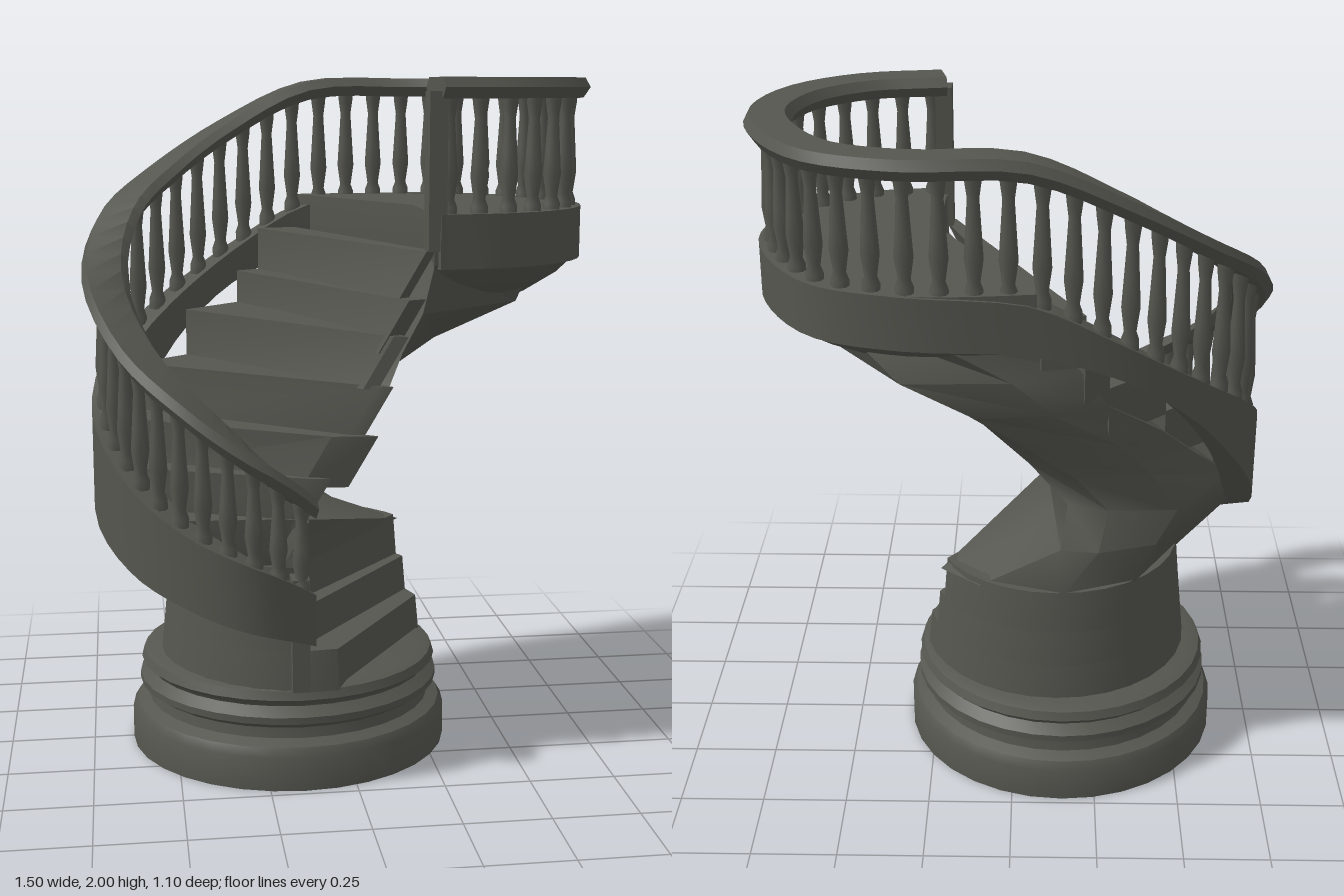
import * as THREE from 'three';
import { toCreasedNormals } from 'three/addons/utils/BufferGeometryUtils.js';

const stone = new THREE.MeshStandardMaterial({ color: 0x55564f });
stone.name = 'dark stone';

const V = (x, y, z) => new THREE.Vector3(x, y, z);
const ringAt = (points, y) => points.map(([x, z]) => V(x, y, z));

// Closed solid through rings of equal point count, turned to face outward
function loft(rings, crease = 0.7) {
  const n = rings[0].length, pts = rings.flat(), idx = [];
  const last = (rings.length - 1) * n;
  for (let r = 0; r < rings.length - 1; r++) {
    for (let i = 0; i < n; i++) {
      const j = (i + 1) % n, a = r * n + i, b = r * n + j;
      idx.push(a, b, a + n, b, b + n, a + n);
    }
  }
  const centre = (ring) => ring.reduce((s, p) => s.add(p), V(0, 0, 0)).divideScalar(n);
  const c0 = pts.length, c1 = c0 + 1;
  const all = [...pts, centre(rings[0]), centre(rings[rings.length - 1])];
  for (let i = 0; i < n; i++) {
    const j = (i + 1) % n;
    idx.push(c0, j, i, c1, last + i, last + j);
  }
  let volume = 0;
  for (let i = 0; i < idx.length; i += 3) {
    volume += all[idx[i]].dot(all[idx[i + 1]].clone().cross(all[idx[i + 2]]));
  }
  if (volume < 0) idx.reverse();
  const g = new THREE.BufferGeometry().setFromPoints(all);
  g.setIndex(idx);
  return toCreasedNormals(g, crease);
}

// Circle of the lower drum cut along the line a-b, keeping the uphill side
function cutCircle(a, b, radius) {
  const side = ([x, z]) => (b[0] - a[0]) * (z - a[1]) - (b[1] - a[1]) * (x - a[0]);
  const keep = Math.sign(side([-0.5, -0.3]));
  const circle = Array.from({ length: 32 }, (_, i) => {
    const t = (i / 32) * Math.PI * 2;
    return [-0.13 + radius * Math.cos(t), 0.03 + radius * Math.sin(t)];
  });
  const out = [];
  circle.forEach((p, i) => {
    const q = circle[(i + 1) % 32], sp = side(p) * keep, sq = side(q) * keep;
    if (sp >= 0) out.push(p);
    if (sp * sq < 0) {
      const k = sp / (sp - sq);
      out.push([p[0] + (q[0] - p[0]) * k, p[1] + (q[1] - p[1]) * k]);
    }
  });
  return out;
}

// Balustrade route: x, z, rail top, string top, string bottom; level around the landing
const level = [2.0, 1.63, 1.48];
const route = [
  [-0.13, 0.44, 0.86, 0.58, 0.43], [-0.3, 0.49, 1.0, 0.68, 0.49], [-0.46, 0.43, 1.13, 0.76, 0.55],
  [-0.6, 0.29, 1.26, 0.87, 0.62], [-0.69, 0.05, 1.45, 1.03, 0.74], [-0.64, -0.17, 1.62, 1.19, 0.97],
  [-0.5, -0.31, 1.74, 1.32, 1.19], [-0.3, -0.41, 1.87, 1.46, 1.36], [-0.04, -0.47, 1.99, 1.6, 1.46],
  [0.28, -0.49, ...level], [0.5, -0.41, ...level], [0.64, -0.21, ...level], [0.69, 0, ...level],
  [0.62, 0.22, ...level], [0.45, 0.36, ...level], [0.22, 0.41, ...level],
];
const railCurve = new THREE.CatmullRomCurve3(route.map((r) => V(r[0], r[2], r[1])));
const stringCurve = new THREE.CatmullRomCurve3(route.map((r, i) => V(r[3], r[4], i * 0.2)));

// Sweep along the route; section(t, point) gives [inward offset, height] pairs
function sweep(section, steps = 60) {
  const rings = [];
  for (let i = 0; i <= steps; i++) {
    const t = i / steps, p = railCurve.getPoint(t), d = railCurve.getTangent(t);
    const len = Math.hypot(d.x, d.z), nx = -d.z / len, nz = d.x / len;
    rings.push(section(t, p).map(([o, y]) => V(p.x + nx * o, y, p.z + nz * o)));
  }
  return loft(rings);
}

export function createModel() {
  const group = new THREE.Group();
  const add = (name, geometry) => {
    const mesh = new THREE.Mesh(geometry, stone);
    mesh.name = name;
    group.add(mesh);
    return mesh;
  };

  // Round moulded plinth
  const profile = [[0, 0], [0.48, 0], [0.48, 0.1], [0.465, 0.125], [0.43, 0.14], [0.425, 0.17],
    [0.455, 0.19], [0.455, 0.21], [0.425, 0.235], [0.43, 0.245], [0.45, 0.26], [0.44, 0.285],
    [0.41, 0.295], [0, 0.295]].map(([x, y]) => new THREE.Vector2(x, y));
  add('plinth', toCreasedNormals(new THREE.LatheGeometry(profile, 32), 0.6)).position.x = -0.15;

  // Lower steps cut from the tapering drum: bottom, top, cut line, bottom and top radius
  [[0.28, 0.4, [-0.04, 0.42], [0.3, -0.1], 0.41, 0.398], [0.4, 0.51, [-0.17, 0.42], [0.26, -0.15], 0.398, 0.387],
    [0.51, 0.64, [-0.17, 0.32], [0.24, -0.18], 0.387, 0.375]].forEach(([y0, y1, a, b, r0, r1]) => {
    const outline = cutCircle(a, b, r0), k = r1 / r0;
    const top = outline.map(([x, z]) => [-0.13 + (x + 0.13) * k, 0.03 + (z - 0.03) * k]);
    add('lowerStep', loft([ringAt(outline, y0), ringAt(top, y1)]));
  });

  // Twisting body and soffit: front, right, back-right, back, back-left, left and inner corner by height
  const body = [
    [0.62, [[-0.17, 0.34], [0.22, -0.17], [0.1, -0.27], [-0.14, -0.345], [-0.36, -0.26], [-0.51, 0], [-0.5, 0.31]]],
    [0.77, [[-0.17, 0.37], [-0.13, -0.06], [-0.14, -0.32], [-0.25, -0.335], [-0.42, -0.28], [-0.66, 0.02], [-0.56, 0.26]]],
    [0.88, [[-0.12, 0.38], [-0.1, 0], [-0.16, -0.24], [-0.28, -0.28], [-0.48, -0.27], [-0.66, -0.03], [-0.6, 0.12]]],
    [1.0, [[0, 0.41], [0, 0.1], [-0.05, -0.22], [-0.18, -0.31], [-0.4, -0.28], [-0.54, -0.14], [-0.48, 0]]],
    [1.12, [[0.08, 0.42], [0.1, 0.1], [0.09, -0.2], [-0.05, -0.38], [-0.3, -0.34], [-0.43, -0.24], [-0.38, -0.13]]],
    [1.25, [[0.13, 0.42], [0.27, 0.15], [0.3, -0.2], [0.1, -0.45], [-0.12, -0.43], [-0.27, -0.36], [-0.2, -0.21]]],
    [1.36, [[0.18, 0.45], [0.5, 0.2], [0.53, -0.15], [0.3, -0.47], [0, -0.46], [-0.19, -0.38], [-0.1, -0.17]]],
    [1.5, [[0.22, 0.42], [0.55, 0.25], [0.62, -0.05], [0.48, -0.36], [0.25, -0.47], [-0.08, -0.42], [0, -0.2]]],
  ];
  add('soffit', loft(body.map(([y, p]) => ringAt(p, y)), 0.9));

  // Upper treads: top height, inner corner, outer corner; undersides draw back into the body
  const treads = [
    [0.78, [-0.16, 0.4], [-0.5, 0.38]], [0.9, [-0.13, 0.42], [-0.62, 0.22]],
    [1.02, [-0.07, 0.43], [-0.66, 0.08]], [1.16, [0.06, 0.44], [-0.6, -0.05]],
    [1.3, [0.1, 0.45], [-0.44, -0.19]], [1.4, [0.14, 0.46], [-0.27, -0.35]],
    [1.53, [0.19, 0.44], [-0.2, -0.39]], [1.63, [0.22, 0.42], [-0.08, -0.42]],
  ];
  const inset = ([x, z]) => [x - 0.08, z - 0.03];
  for (let i = 0; i < treads.length - 1; i++) {
    const [y, a, b] = treads[i], [, c, d] = treads[i + 1];
    add('upperStep', loft([ringAt([inset(a), b, d, inset(c)], y - 0.15), ringAt([a, b, d, c], y)], 0.5));
  }

  // Landing with a tapered underside
  const rim = [];
  for (let i = 0; i <= 28; i++) {
    const p = railCurve.getPoint((8 + (i / 28) * 7) / 15);
    rim.push([0.3 + (p.x - 0.3) * 1.08, p.z * 1.06]);
  }
  rim.push([0.22, 0.05]);
  const shrink = (k) => rim.map(([x, z]) => [0.3 + (x - 0.3) * k, z * k]);
  add('landing', loft([ringAt(shrink(0.65), 1.38), ringAt(shrink(0.88), 1.44), ringAt(rim, 1.49), ringAt(rim, 1.63)], 0.6));

  // Curved string wall and handrail
  add('stringWall', sweep((t) => {
    const s = stringCurve.getPoint(t);
    return [[-0.04, s.y], [0.05, s.y], [0.05, s.x], [-0.04, s.x]];
  }));
  add('handrail', sweep((t, p) => [[-0.06, -0.03], [-0.04, -0.06], [0.055, -0.06], [0.075, -0.03],
    [0.055, -0.003], [-0.045, -0.003]].map(([o, y]) => [o, p.y + y])));

  // Vase-shaped balusters, stretched between string and handrail
  const vase = [[0.025, 0], [0.025, 0.08], [0.017, 0.14], [0.026, 0.32], [0.022, 0.5], [0.016, 0.78],
    [0.022, 0.9], [0.025, 1]].map(([x, y]) => new THREE.Vector2(x, y));
  const vaseGeometry = new THREE.LatheGeometry(vase, 8);
  const count = 42;
  for (let i = 0; i < count; i++) {
    const t = railCurve.getUtoTmapping((i + 0.4) / (count - 0.2));
    const p = railCurve.getPoint(t), foot = stringCurve.getPoint(t).x - 0.01;
    const baluster = add('baluster', vaseGeometry);
    baluster.position.set(p.x, foot, p.z);
    baluster.scale.y = p.y - 0.04 - foot;
  }

  // End posts at the foot of the stair and the end of the landing
  const post = (name, x, z, y0, y1) =>
    add(name, new THREE.BoxGeometry(0.05, y1 - y0, 0.07)).position.set(x, (y0 + y1) / 2, z);
  post('footPost', -0.16, 0.43, 0.29, 0.62);
  post('landingPost', 0.22, 0.41, 1.53, 1.96);
  return group;
}
